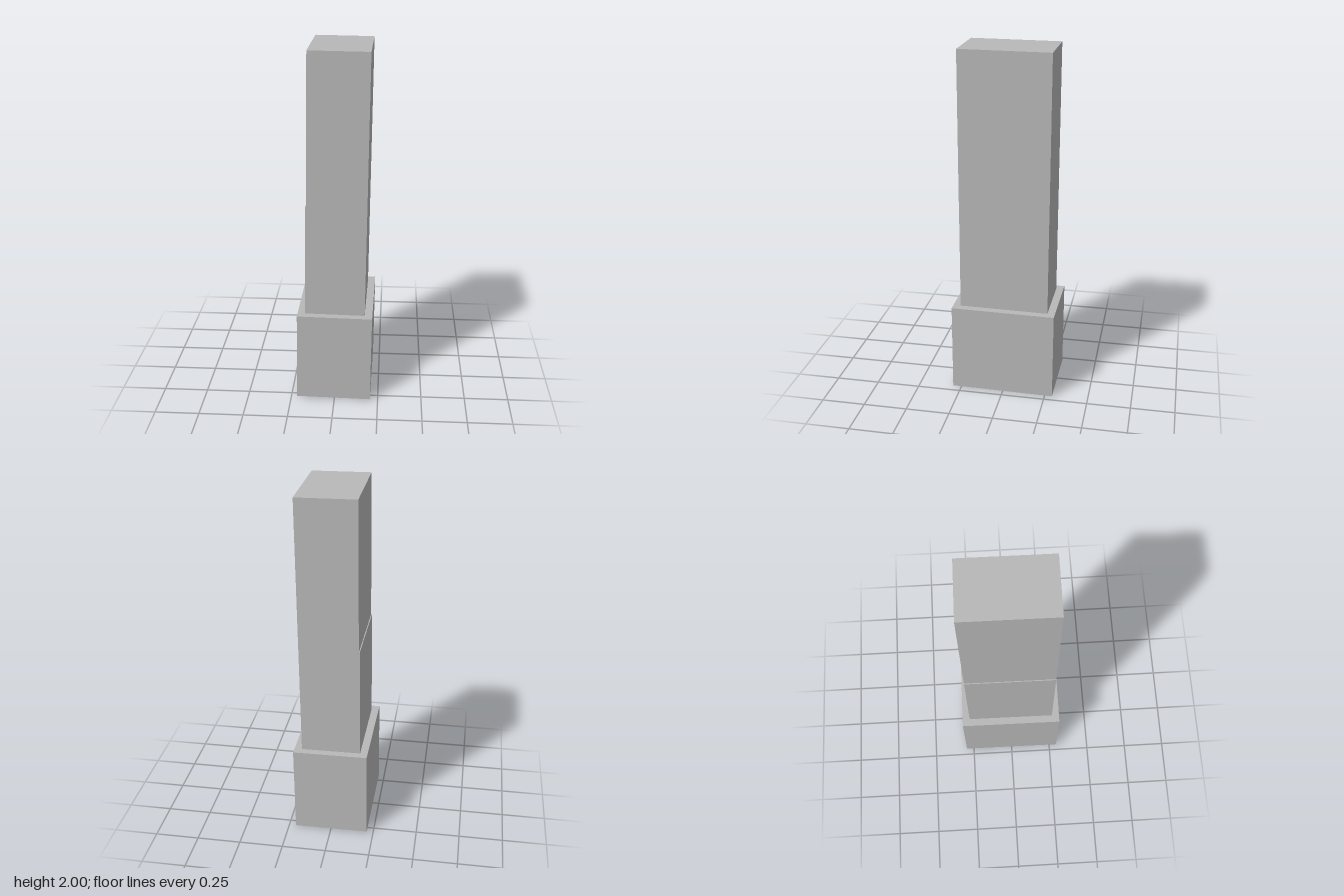
import * as THREE from 'three';

const stone = new THREE.MeshStandardMaterial({ color: 0xb8b8b8 });
stone.name = 'stone grey';

// A block standing on height y0 and reaching y1
function block(name, width, depth, y0, y1, x = 0) {
  const mesh = new THREE.Mesh(new THREE.BoxGeometry(width, y1 - y0, depth), stone);
  mesh.name = name;
  mesh.position.set(x, (y0 + y1) / 2, 0);
  return mesh;
}

export function createModel() {
  const model = new THREE.Group();
  model.name = 'pillar';

  // The whole pillar leans very slightly to its left and backwards
  const leaning = new THREE.Group();
  leaning.name = 'leaningPillar';
  leaning.rotation.set(-0.006, -0.008, -0.0125);
  leaning.position.set(-0.0035, 0.0045, 0.0015);

  leaning.add(
    block('base', 0.422, 0.592, 0, 0.511),
    block('lowerShaft', 0.336, 0.506, 0.511, 1.15),
    // The upper shaft is set in a little on one side
    block('upperShaft', 0.331, 0.507, 1.15, 1.992, 0.0025),
  );
  model.add(leaning);
  return model;
}
